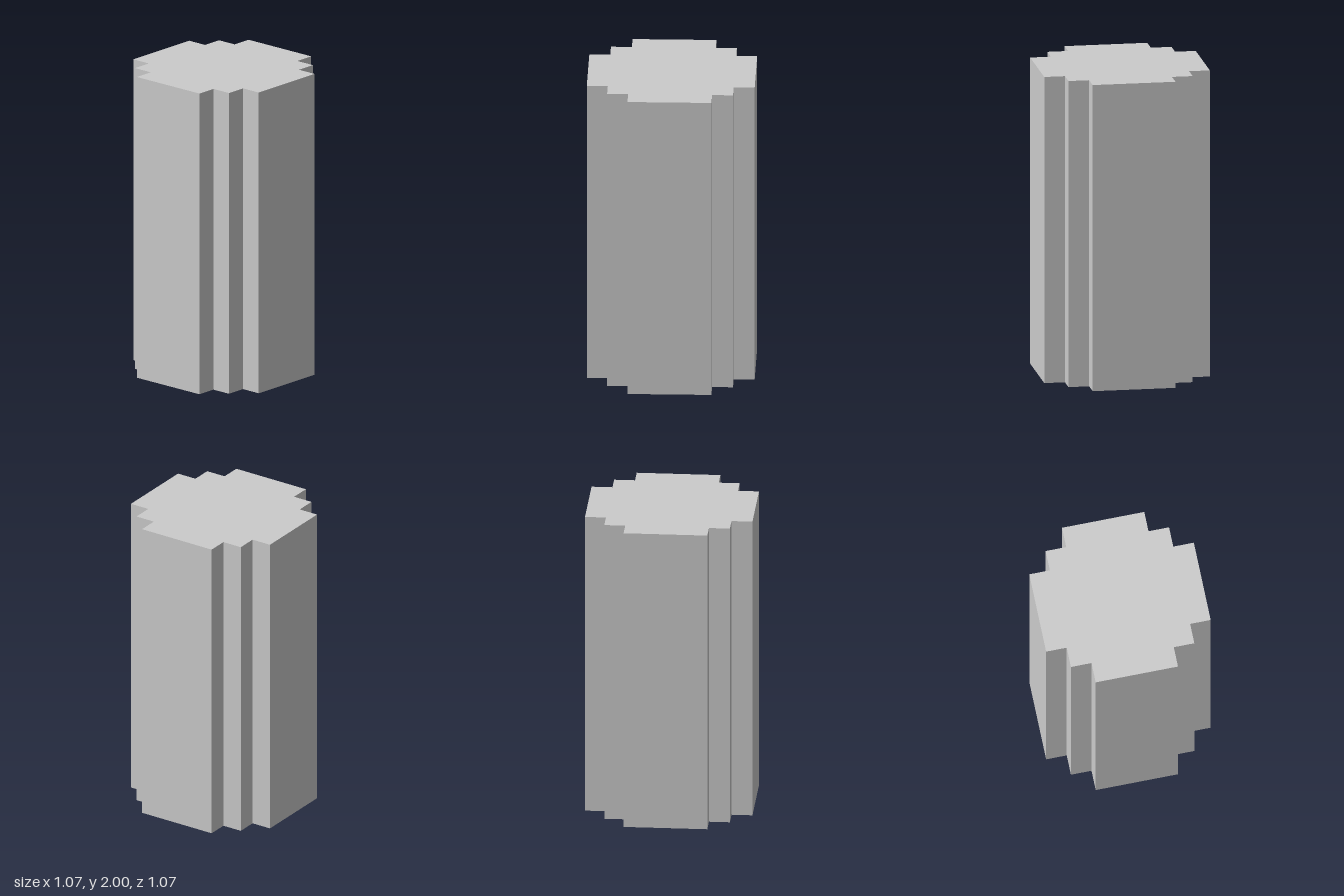
import * as THREE from 'three';

export function createModel() {
  const group = new THREE.Group();
  group.name = 'steppedPillar';

  // One stepped corner, turned four times to make the outline
  const outer = 0.5333, middle = 0.4, inner = 0.2667;
  const corner = [[outer, inner], [middle, inner], [middle, middle], [inner, middle], [inner, outer]];
  const outline = [];
  for (let i = 0; i < 4; i++) {
    for (const [x, y] of corner) {
      const p = new THREE.Vector2(x, y);
      for (let k = 0; k < i; k++) p.set(-p.y, p.x);
      outline.push(p);
    }
  }

  // Pillar shaft, extruded upwards from the ground
  const geometry = new THREE.ExtrudeGeometry(new THREE.Shape(outline), { depth: 2, bevelEnabled: false });
  geometry.rotateX(-Math.PI / 2);
  const shaft = new THREE.Mesh(geometry, new THREE.MeshStandardMaterial({ color: 0xcccccc, flatShading: true }));
  shaft.name = 'pillarShaft';
  group.add(shaft);

  return group;
}
